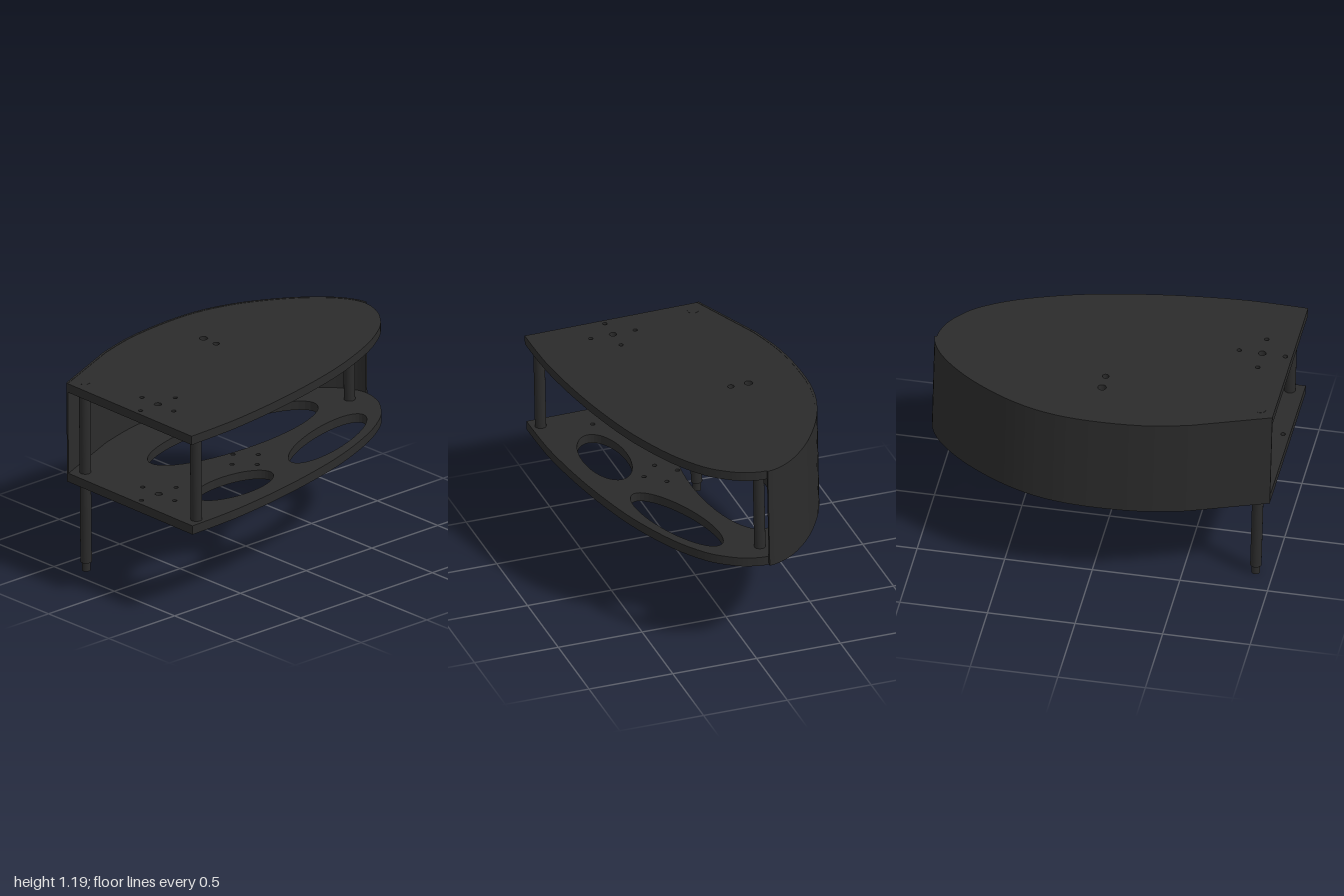
import * as THREE from 'three';

const HALF = 0.3;        // half the height of the housing
const PLATE = 0.053;     // plate thickness
const V = (x, z) => new THREE.Vector2(x, -z); // plan position -> shape position

// Plan outline: straight rear-right edge, then one smooth sweep round the nose
const sweep = new THREE.SplineCurve([
  [-0.55, -0.558], [-0.3, -0.617], [0, -0.638], [0.25, -0.617], [0.48, -0.543], [0.7, -0.42],
  [0.85, -0.297], [0.94, -0.185], [0.978, -0.075], [0.955, 0.04], [0.9, 0.135], [0.8, 0.24],
  [0.6, 0.36], [0.3, 0.475], [0, 0.55], [-0.3, 0.603], [-0.6, 0.637], [-0.8, 0.645], [-1, 0.645],
].map(([x, z]) => V(x, z)));
const outline = [V(-1, -0.382), ...sweep.getPoints(72)];

function extrudeUp(shape, height, y) {
  const g = new THREE.ExtrudeGeometry(shape, { depth: height, bevelEnabled: false, curveSegments: 24 });
  return g.rotateX(-Math.PI / 2).translate(0, y, 0);
}

// Hole as an ellipse [x, z, half length, half width, turn]
function plateShape(holes) {
  const shape = new THREE.Shape(outline);
  for (const [x, z, a, b = a, turn = 0] of holes) {
    const path = new THREE.Path();
    path.absellipse(x, -z, a, b, 0, Math.PI * 2, false, turn);
    shape.holes.push(path);
  }
  return shape;
}

// Four bolt holes in a cross
const cross = (x, z, d, r) => [[x + d, z, r], [x - d, z, r], [x, z + d, r], [x, z - d, r]];

export function createModel() {
  const model = new THREE.Group();
  const body = new THREE.Group();
  body.name = 'housing';
  model.add(body);

  const charcoal = new THREE.MeshStandardMaterial({ color: 0x2b2b2b });
  charcoal.name = 'charcoal';

  const add = (name, geometry) => {
    const mesh = new THREE.Mesh(geometry, charcoal);
    mesh.name = name;
    body.add(mesh);
    return mesh;
  };

  // Plates
  const mount = [[-0.83, 0.18, 0.021], ...cross(-0.83, 0.18, 0.132, 0.013)];
  add('topPlate', extrudeUp(plateShape([
    ...mount, [-0.015, -0.33, 0.024], [-0.015, -0.225, 0.019],
  ]), PLATE, HALF - PLATE));
  add('bottomPlate', extrudeUp(plateShape([
    ...mount, ...cross(-0.15, 0.155, 0.1, 0.013),
    [0.05, -0.165, 0.62, 0.21],
    [-0.444, 0.382, 0.278, 0.13],
    [0.385, 0.255, 0.39, 0.125, 0.315],
  ]), PLATE, -HALF));

  // Thin wall wrapped round the back, from the right edge to the nose
  const inner = outline.filter((p) => p.y > 0.07);
  const outer = inner.map((p, i) => {
    const a = inner[Math.max(i - 1, 0)];
    const b = inner[Math.min(i + 1, inner.length - 1)];
    const t = b.clone().sub(a).normalize();
    return new THREE.Vector2(p.x - t.y * 0.013, p.y + t.x * 0.013);
  });
  outer[0].x = -1;
  add('backWall', extrudeUp(new THREE.Shape([...inner, ...outer.reverse()]), 2 * HALF + 0.004, -HALF - 0.002));

  // Spacer posts and the long leg with its stepped tip
  const rod = (name, x, z, r, y0, y1) => {
    const mesh = add(name, new THREE.CylinderGeometry(r, r, y1 - y0, 24));
    mesh.position.set(x, (y0 + y1) / 2, z);
  };
  rod('frontPost', -0.92, 0.59, 0.032, -HALF + 0.01, HALF - 0.01);
  rod('nosePost', 0.85, -0.07, 0.032, -HALF + 0.01, HALF - 0.01);
  rod('leg', -0.92, -0.33, 0.032, -0.792, HALF + 0.001);
  rod('legTip', -0.92, -0.33, 0.024, -0.844, -0.79);

  // Slight lean of the whole housing
  body.rotation.set(0.012, 0, 0.022);
  body.position.y = 0.861;
  return model;
}
